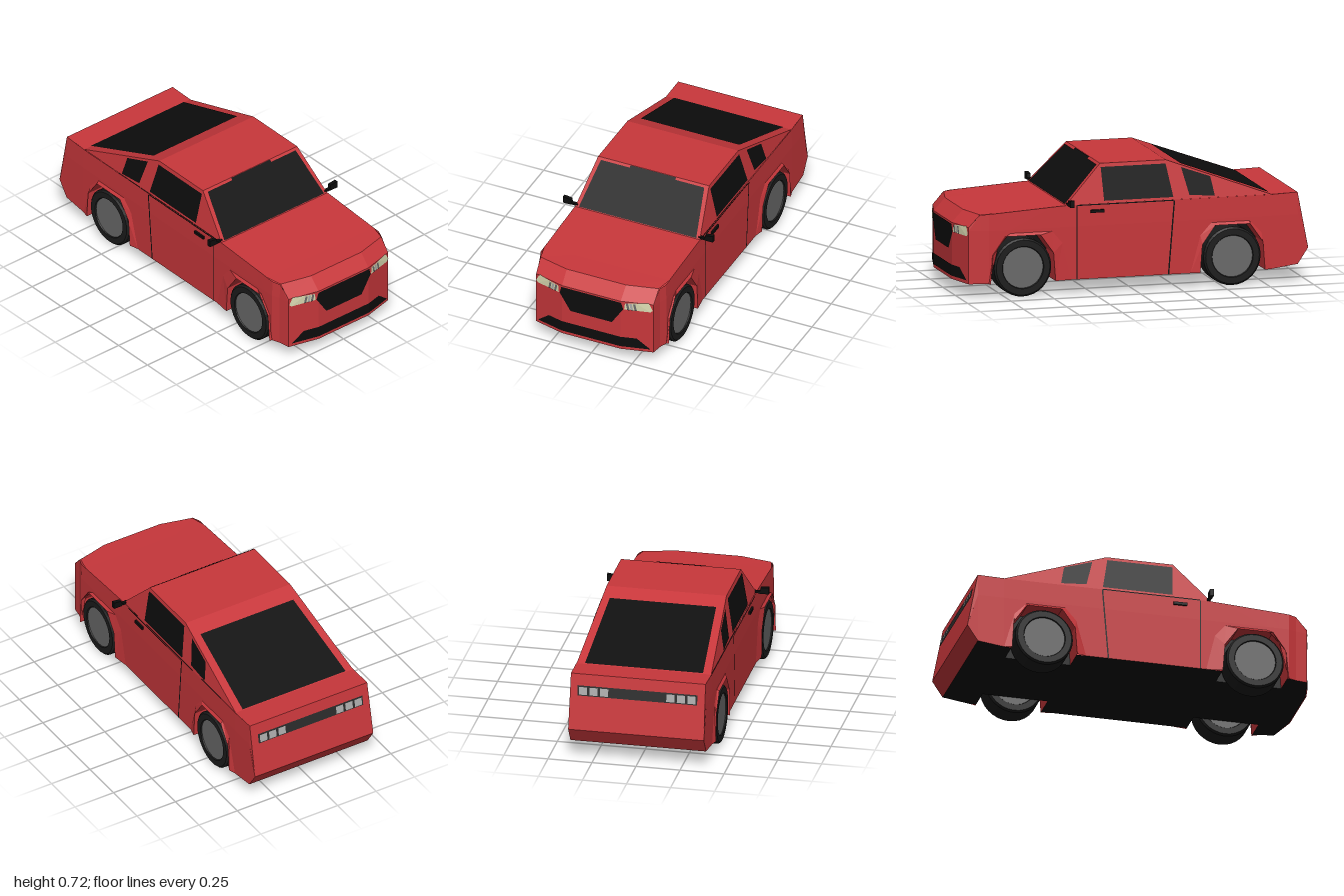
import * as THREE from 'three';

const paint = (color) => new THREE.MeshStandardMaterial({ color, flatShading: true, side: THREE.DoubleSide });
const red = paint(0xc8373b), black = paint(0x0d0d0d), dark = paint(0x2a2a2a);
const tyreMat = paint(0x1c1c1c), rim = paint(0x6a6a6a), cream = paint(0xd8d8b0), grey = paint(0xaaaaaa);
const V = (x, y, z) => new THREE.Vector3(x, y, z);

// Skin between rows of points; every face is turned away from a reference point
function skin(name, rows, mat, ref = null, inward = false) {
  const pos = [];
  const tri = (a, b, c) => {
    const n = b.clone().sub(a).cross(c.clone().sub(a));
    if (n.length() < 1e-9) return;
    const mid = a.clone().add(b).add(c).divideScalar(3);
    const out = mid.clone().sub(ref ?? V(0, 0.3, mid.z * 0.8));
    const flip = (n.dot(out) < 0) !== inward;
    for (const p of flip ? [a, c, b] : [a, b, c]) pos.push(p.x, p.y, p.z);
  };
  for (let i = 0; i + 1 < rows.length; i++) {
    for (let j = 0; j + 1 < rows[i].length; j++) {
      const a = rows[i][j], b = rows[i][j + 1], c = rows[i + 1][j + 1], d = rows[i + 1][j];
      tri(a, b, c);
      tri(a, c, d);
    }
  }
  const geo = new THREE.BufferGeometry();
  geo.setAttribute('position', new THREE.Float32BufferAttribute(pos, 3));
  geo.computeVertexNormals();
  const mesh = new THREE.Mesh(geo, mat);
  mesh.name = name;
  return mesh;
}

function box(name, w, h, d, x, y, z, mat) {
  const mesh = new THREE.Mesh(new THREE.BoxGeometry(w, h, d), mat);
  mesh.name = name;
  mesh.position.set(x, y, z);
  return mesh;
}

const WHEELS = [0.65, -0.56];
// Outer flare lines [z, y], front to back
const ARCHES = [
  [[0.845, 0.08], [0.79, 0.29], [0.72, 0.36], [0.48, 0.36], [0.42, 0.29], [0.37, 0.08]],
  [[-0.32, 0.08], [-0.377, 0.29], [-0.44, 0.36], [-0.66, 0.36], [-0.73, 0.29], [-0.79, 0.08]],
];
// Opening around the wheel, relative to the wheel centre in z
const OPENING = [[0.187, 0.08], [0.175, 0.24], [0.1, 0.345], [-0.1, 0.345], [-0.175, 0.24], [-0.187, 0.08]];

// Side stations: z, half width, bottom y, top y
const shoulder = (z) => 0.47 + 0.03 * Math.min(1, (0.89 - z) / 0.49);
const STATIONS = [
  [0.955, 0.36, 0.08, 0.4], [0.89, 0.37, 0.08, 0.47],
  ...ARCHES[0].map(([z, y]) => [z, 0.387, y, shoulder(z)]),
  ...ARCHES[1].map(([z, y]) => [z, 0.387, y, 0.5]),
  [-0.94, 0.385, 0.1, 0.505], [-1, 0.385, 0.19, 0.19],
];

const noseZ = (x, y) => 1 - Math.max(0, Math.abs(x) - 0.18) * 0.25 - Math.max(0, y - 0.4) * 0.93;
const onNose = (pts, lift = 0.004) => pts.map(([x, y]) => V(x, y, noseZ(x, y) + lift));
const cabinX = (y) => 0.382 - (y - 0.5) * 0.19;
const onCabin = (s, pts, lift = 0.003) => pts.map(([z, y]) => V(s * (cabinX(y) + lift), y, z));
const rearZ = (y) => -0.94 - (0.505 - y) * 0.19;
const across = (w, y, z) => [V(-w, y, z), V(w, y, z)];

// One side of the car: skin, flares, wheel wells, windows, door, mirror
function side(s) {
  const g = new THREE.Group();
  g.name = s > 0 ? 'leftSide' : 'rightSide';
  g.add(skin('sidePanel', STATIONS.map(([z, w, lo, hi]) => [
    V(s * w, lo, z), V(s * w, Math.min(hi, Math.max(lo, 0.38)), z), V(s * (w - 0.003), hi, z),
  ]), red));

  WHEELS.forEach((wz, i) => {
    const lip = OPENING.map(([z, y]) => V(s * 0.4, y, wz + z));
    const inner = OPENING.map(([z, y]) => V(s * 0.245, y, wz + z));
    const centre = V(s * 0.3, 0.1, wz);
    g.add(skin('archFlare', [ARCHES[i].map(([z, y]) => V(s * 0.387, y, z)), lip], red));
    g.add(skin('wheelWell', [lip, inner], red, centre, true));
    g.add(skin('wheelWellWall', [inner.slice(0, 3), inner.slice(3).reverse()], black, centre, true));
    g.add(wheel(s, wz));
  });

  g.add(skin('doorWindow', [
    onCabin(s, [[0.188, 0.7], [-0.187, 0.7]]), onCabin(s, [[0.178, 0.515], [-0.222, 0.515]]),
  ], black));
  g.add(skin('quarterWindow', [
    onCabin(s, [[-0.275, 0.676], [-0.44, 0.618]]), onCabin(s, [[-0.315, 0.522], [-0.462, 0.51]]),
  ], black));

  // Door gaps
  const gap = (a, b, t) => g.add(skin('doorGap', [
    [V(s * 0.389, a[1], a[0]), V(s * 0.389, b[1], b[0])],
    [V(s * 0.389, a[1] + t[1], a[0] + t[0]), V(s * 0.389, b[1] + t[1], b[0] + t[0])],
  ], black));
  gap([0.335, 0.08], [0.335, 0.497], [0.004, 0]);
  gap([-0.188, 0.08], [-0.222, 0.497], [-0.008, 0]);
  gap([0.335, 0.495], [-0.222, 0.495], [0, 0.006]);
  g.add(box('doorHandle', 0.012, 0.016, 0.078, s * 0.392, 0.461, 0.22, black));

  // Wing mirror
  g.add(box('mirrorArm', 0.06, 0.012, 0.018, s * 0.4, 0.507, 0.385, black));
  const face = (z) => [[0.408, 0.5], [0.46, 0.5], [0.46, 0.54], [0.412, 0.534], [0.408, 0.5]].map(([x, y]) => V(s * x, y, z));
  const hub = (z) => Array(5).fill(V(s * 0.435, 0.518, z));
  g.add(skin('mirror', [hub(0.395), face(0.395), face(0.373), hub(0.373)], black, V(s * 0.435, 0.518, 0.384)));

  // Headlight with three slats
  g.add(skin('headlight', [
    onNose([[s * 0.268, 0.398], [s * 0.335, 0.405], [s * 0.358, 0.362]]),
    onNose([[s * 0.268, 0.35], [s * 0.345, 0.35], [s * 0.358, 0.362]]),
  ], cream));
  g.add(skin('lampSurround', [
    onNose([[s * 0.205, 0.392], [s * 0.27, 0.399]]), onNose([[s * 0.2, 0.35], [s * 0.27, 0.35]]),
  ], cream));
  for (let i = 0; i < 3; i++) {
    const x = 0.21 + i * 0.02;
    g.add(skin('lampSlat', [
      onNose([[s * x, 0.392], [s * (x + 0.013), 0.394]], 0.007),
      onNose([[s * (x + 0.009), 0.35], [s * (x + 0.022), 0.35]], 0.007),
    ], i % 2 ? grey : rim));
  }

  // Three tail lamps
  for (let i = 0; i < 3; i++) {
    const x0 = s * (0.165 + i * 0.06), x1 = x0 + s * 0.046;
    g.add(skin('tailLamp', [0.435, 0.392].map((y) => [V(x0, y, rearZ(y) - 0.009), V(x1, y, rearZ(y) - 0.009)]), grey));
  }
  return g;
}

function wheel(s, z) {
  const g = new THREE.Group();
  g.name = 'wheel';
  const profile = [[0.115, -0.06], [0.12, -0.068], [0.155, -0.068], [0.165, -0.058],
    [0.165, 0.058], [0.155, 0.068], [0.12, 0.068], [0.115, 0.06]].map(([r, y]) => new THREE.Vector2(r, y));
  const tyre = new THREE.Mesh(new THREE.LatheGeometry(profile, 32), tyreMat);
  tyre.name = 'tyre';
  const disc = new THREE.Mesh(new THREE.CylinderGeometry(0.117, 0.117, 0.124, 32), rim);
  disc.name = 'rim';
  g.add(tyre, disc);
  g.rotation.z = Math.PI / 2;
  g.position.set(s * 0.328, 0.165, z);
  return g;
}

export function createModel() {
  const car = new THREE.Group();
  car.name = 'car';
  car.add(side(1), side(-1));

  // Nose, hood, rear deck and tail
  const noseX = [-0.36, -0.18, 0.18, 0.36];
  const hoodEdge = noseX.map((x) => V(x * 1.01, 0.47, noseZ(x, 0.47)));
  car.add(skin('nose', [0.08, 0.4].map((y) => onNose(noseX.map((x) => [x, y]), 0)).concat([hoodEdge]), red));
  car.add(skin('hood', [hoodEdge, [-0.384, -0.2, 0.2, 0.384].map((x) => V(x, 0.475, 0.8)),
    [-0.384, -0.2, 0.2, 0.384].map((x) => V(x, 0.5, 0.39))], red));
  car.add(skin('tail', [
    across(0.384, 0.5, -0.78), across(0.382, 0.505, -0.94), across(0.385, 0.19, -1), across(0.385, 0.1, -0.94),
  ], red));

  // Cabin shell
  const ring = [[0.4, 0.5], [0.19, 0.72], [-0.19, 0.72], [-0.79, 0.5]];
  car.add(skin('cabin', ring.map(([z, y]) => across(cabinX(y), y, z)), red));
  for (const s of [1, -1]) {
    car.add(skin('cabinSide', [onCabin(s, [ring[1], ring[2]], 0), onCabin(s, [ring[0], ring[3]], 0)], red));
  }

  // Front and rear glass
  const screenZ = (y) => 0.404 - (y - 0.5) * 0.955;
  car.add(skin('windscreen', [across(0.36, 0.505, screenZ(0.505)), across(0.317, 0.71, screenZ(0.71))], black));
  car.add(skin('screenTopStrip', [across(0.14, 0.705, screenZ(0.705) + 0.002), across(0.14, 0.721, screenZ(0.721) + 0.002)], black));
  const backY = (z) => 0.724 + (z + 0.19) * 0.3667;
  car.add(skin('rearWindow', [across(0.302, backY(-0.285), -0.285), across(0.335, backY(-0.788), -0.788)], black));

  // Grille and lower intake
  car.add(skin('grille', [
    onNose([[-0.195, 0.35], [-0.183, 0.392], [0.183, 0.392], [0.195, 0.35]]),
    onNose([[-0.195, 0.35], [-0.127, 0.247], [0.127, 0.247], [0.195, 0.35]]),
  ], black));
  const intakeX = [-0.345, -0.27, -0.18, 0.18, 0.27, 0.345];
  car.add(skin('lowerIntake', [
    onNose(intakeX.map((x) => [x, Math.abs(x) > 0.3 ? 0.1 : 0.163])), onNose(intakeX.map((x) => [x, 0.1])),
  ], black));

  // Tail lamp panel
  car.add(skin('tailPanel', [0.442, 0.385].map((y) => across(0.34, y, rearZ(y) - 0.005)), dark));

  // Floor, narrowed between the wheels
  const floor = [[0.995, 0.18], [0.955, 0.36], [0.89, 0.37]];
  for (const wz of WHEELS) {
    floor.push([wz + 0.187, 0.387], [wz + 0.187, 0.245], [wz - 0.187, 0.245], [wz - 0.187, 0.387]);
  }
  floor.push([-0.79, 0.387]);
  car.add(skin('floor', [...floor.map(([z, w]) => across(w, 0.08, z)), across(0.385, 0.1, -0.94)], black));
  return car;
}
